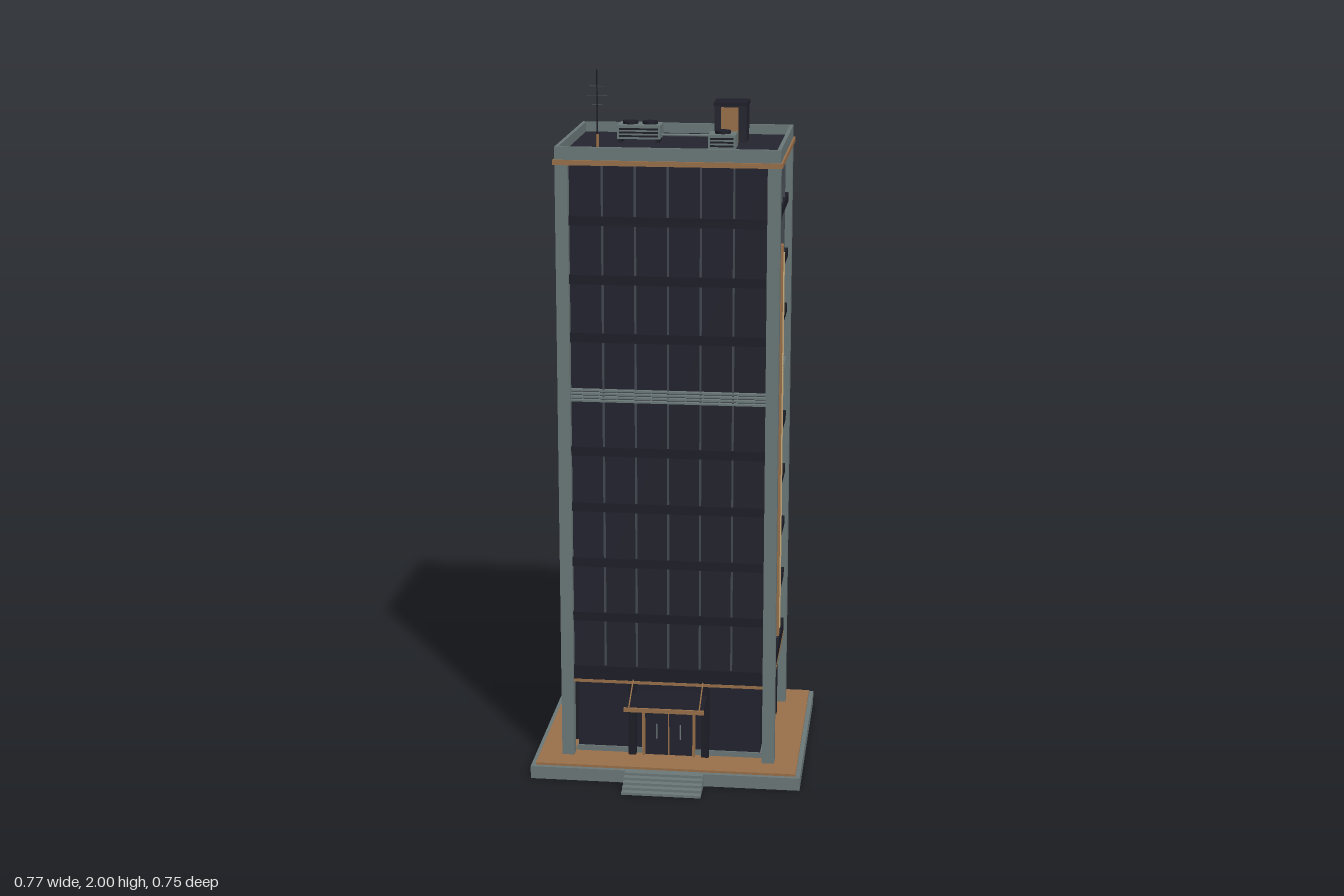
import * as THREE from 'three';

const mat = (name, color) => {
  const m = new THREE.MeshStandardMaterial({ color });
  m.name = name;
  return m;
};

export function createModel() {
  const stone = mat('grey stone', 0x6b7878);
  const bronze = mat('bronze', 0x99704a);
  const glass = mat('dark glass', 0x23232f);
  const frame = mat('dark frame', 0x1d1e28);
  const roofing = mat('roofing', 0x242430);
  const mullionGrey = mat('mullion grey', 0x434a52);
  const cream = mat('cream panel', 0xcbb07f);

  const model = new THREE.Group();
  model.name = 'officeTower';

  const add = (parent, name, geo, material, x, y, z) => {
    const m = new THREE.Mesh(geo, material);
    m.name = name;
    m.position.set(x, y, z);
    parent.add(m);
    return m;
  };
  // Box given by its extents on each axis
  const box = (parent, name, material, x0, x1, y0, y1, z0, z1) =>
    add(parent, name, new THREE.BoxGeometry(x1 - x0, y1 - y0, z1 - z0), material,
      (x0 + x1) / 2, (y0 + y1) / 2, (z0 + z1) / 2);
  // Box centred on the tower axis, given by half sizes
  const slab = (parent, name, material, hx, hz, y0, y1) =>
    box(parent, name, material, -hx, hx, y0, y1, -hz, hz);
  // Thin round bar between two points
  const rod = (parent, name, material, a, b, r) => {
    const p = new THREE.Vector3(...a), q = new THREE.Vector3(...b);
    const mid = p.clone().add(q).multiplyScalar(0.5);
    const m = add(parent, name, new THREE.CylinderGeometry(r, r, p.distanceTo(q), 8), material, mid.x, mid.y, mid.z);
    m.quaternion.setFromUnitVectors(new THREE.Vector3(0, 1, 0), q.sub(p).normalize());
    return m;
  };

  const tower = new THREE.Group();
  tower.name = 'tower';
  tower.position.z = -0.043;
  model.add(tower);

  // Base and paving
  slab(tower, 'plinth', stone, 0.385, 0.334, 0, 0.037);
  slab(tower, 'paving', bronze, 0.372, 0.322, 0.037, 0.044);

  // Entrance steps
  for (let i = 0; i < 5; i++)
    box(model, 'entranceStep', stone, -0.112, 0.112, i * 0.0075, (i + 1) * 0.0075, 0.28, 0.375 - i * 0.017);

  // Recessed ground floor, soffit and podium band
  slab(tower, 'lobbyBase', stone, 0.267, 0.218, 0.044, 0.06);
  slab(tower, 'lobbyGlass', glass, 0.263, 0.214, 0.06, 0.268);
  slab(tower, 'soffitTrim', bronze, 0.298, 0.246, 0.266, 0.275);
  slab(tower, 'podiumBand', frame, 0.297, 0.245, 0.275, 0.316);

  // Glazed body and floor slabs, with a louvred plant floor
  slab(tower, 'glassBody', glass, 0.282, 0.23, 0.316, 1.757);
  const pitch = 0.1625;
  for (let i = 1; i <= 8; i++) {
    const y = 0.302 + i * pitch;
    if (i === 5) {
      for (let k = 0; k < 4; k++)
        slab(tower, 'louvre', stone, 0.296, 0.244, 1.095 + k * 0.01, 1.1 + k * 0.01);
    } else {
      slab(tower, 'floorSlab', frame, 0.296, 0.244, y - 0.013, y + 0.013);
    }
  }

  // Mullions and lobby pillars on each face
  const faces = [
    { angle: 0, half: 0.27, out: 0.23, bays: 6, pillars: [-0.105, 0.105] },
    { angle: Math.PI / 2, half: 0.218, out: 0.282, bays: 5, pillars: [-0.051, 0.129] },
    { angle: Math.PI, half: 0.27, out: 0.23, bays: 6, pillars: [-0.105, 0.105] },
    { angle: -Math.PI / 2, half: 0.218, out: 0.282, bays: 5, pillars: [-0.051, 0.129] },
  ];
  for (const f of faces) {
    const side = new THREE.Group();
    side.name = 'facade';
    side.rotation.y = f.angle;
    tower.add(side);
    for (let i = 1; i < f.bays; i++) {
      const x = -f.half + (2 * f.half * i) / f.bays;
      box(side, 'mullion', mullionGrey, x - 0.0025, x + 0.0025, 0.316, 1.757, f.out - 0.002, f.out + 0.01);
    }
    for (const x of f.pillars)
      box(side, 'lobbyPillar', frame, x - 0.011, x + 0.011, 0.044, 0.268, f.out - 0.02, f.out + 0.004);
  }

  // Corner columns
  for (const sx of [-1, 1])
    for (const sz of [-1, 1])
      add(tower, 'cornerColumn', new THREE.BoxGeometry(0.035, 1.716, 0.035), stone, sx * 0.2885, 0.901, sz * 0.2365);

  // Cornice, roof and parapet
  slab(tower, 'cornice', bronze, 0.311, 0.26, 1.756, 1.77);
  slab(tower, 'roofDeck', roofing, 0.298, 0.246, 1.77, 1.777);
  for (const s of [-1, 1]) {
    add(tower, 'parapet', new THREE.BoxGeometry(0.612, 0.035, 0.01), stone, 0, 1.7875, s * 0.249);
    add(tower, 'parapet', new THREE.BoxGeometry(0.01, 0.035, 0.488), stone, s * 0.301, 1.7875, 0);
  }

  // Entrance doors
  const entrance = new THREE.Group();
  entrance.name = 'entrance';
  model.add(entrance);
  for (const s of [-1, 1]) {
    add(entrance, 'doorJamb', new THREE.BoxGeometry(0.007, 0.163, 0.022), bronze, s * 0.0725, 0.1255, 0.18);
    add(entrance, 'doorLeaf', new THREE.BoxGeometry(0.067, 0.156, 0.01), glass, s * 0.0345, 0.122, 0.178);
    rod(entrance, 'doorHandle', stone, [s * 0.034, 0.095, 0.187], [s * 0.034, 0.14, 0.187], 0.002);
    rod(entrance, 'canopyTie', bronze, [s * 0.1, 0.278, 0.2], [s * 0.1, 0.233, 0.297], 0.002);
  }
  box(entrance, 'doorHead', bronze, -0.076, 0.076, 0.2, 0.208, 0.169, 0.191);
  box(entrance, 'doorMeeting', bronze, -0.0015, 0.0015, 0.044, 0.2, 0.178, 0.185);
  box(entrance, 'canopy', frame, -0.112, 0.112, 0.222, 0.232, 0.17, 0.298);
  box(entrance, 'canopyFascia', bronze, -0.114, 0.114, 0.221, 0.233, 0.298, 0.304);

  // Vertical blade on the left side
  box(model, 'blade', bronze, 0.296, 0.311, 0.408, 1.537, 0.123, 0.147);
  box(model, 'bladePanel', cream, 0.311, 0.314, 0.432, 1.515, 0.126, 0.144);

  // Rooftop cooling units
  const coolingUnit = (x0, x1, z0, z1, fans) => {
    const unit = new THREE.Group();
    unit.name = 'coolingUnit';
    model.add(unit);
    for (const x of [x0 + 0.008, x1 - 0.008])
      box(unit, 'unitFoot', frame, x - 0.005, x + 0.005, 1.777, 1.787, z0 + 0.005, z1 - 0.005);
    box(unit, 'unitBody', stone, x0, x1, 1.787, 1.826, z0, z1);
    for (let k = 0; k < 3; k++)
      box(unit, 'unitVent', frame, x0 + 0.006, x1 - 0.006, 1.793 + k * 0.01, 1.798 + k * 0.01, z1, z1 + 0.002);
    for (const x of fans)
      add(unit, 'fan', new THREE.CylinderGeometry(0.022, 0.022, 0.008, 20), frame, x, 1.83, (z0 + z1) / 2);
  };
  coolingUnit(-0.175, -0.054, -0.157, -0.077, [-0.142, -0.086]);
  coolingUnit(0.098, 0.173, 0.012, 0.088, [0.135]);

  // Stair house with door
  box(model, 'stairHouse', roofing, 0.096, 0.186, 1.777, 1.882, -0.2, -0.11);
  box(model, 'stairHouseCap', frame, 0.093, 0.189, 1.88, 1.889, -0.203, -0.107);
  box(model, 'stairDoor', bronze, 0.115, 0.163, 1.777, 1.876, -0.11, -0.104);

  // Roof pipe
  rod(model, 'roofPipe', stone, [-0.054, 1.795, -0.118], [0.092, 1.795, -0.118], 0.004);
  rod(model, 'roofPipeElbow', stone, [0.09, 1.795, -0.116], [0.09, 1.795, -0.132], 0.004);

  // Antenna
  rod(model, 'antennaBase', bronze, [-0.205, 1.777, 0.097], [-0.205, 1.825, 0.097], 0.004);
  rod(model, 'antennaMast', frame, [-0.205, 1.8, 0.097], [-0.205, 2, 0.097], 0.002);
  [[1.93, 0.028], [1.955, 0.02], [1.905, 0.014]].forEach(([y, h]) =>
    rod(model, 'antennaBar', mullionGrey, [-0.205 - h, y, 0.097], [-0.205 + h, y, 0.097], 0.0012));

  return model;
}
